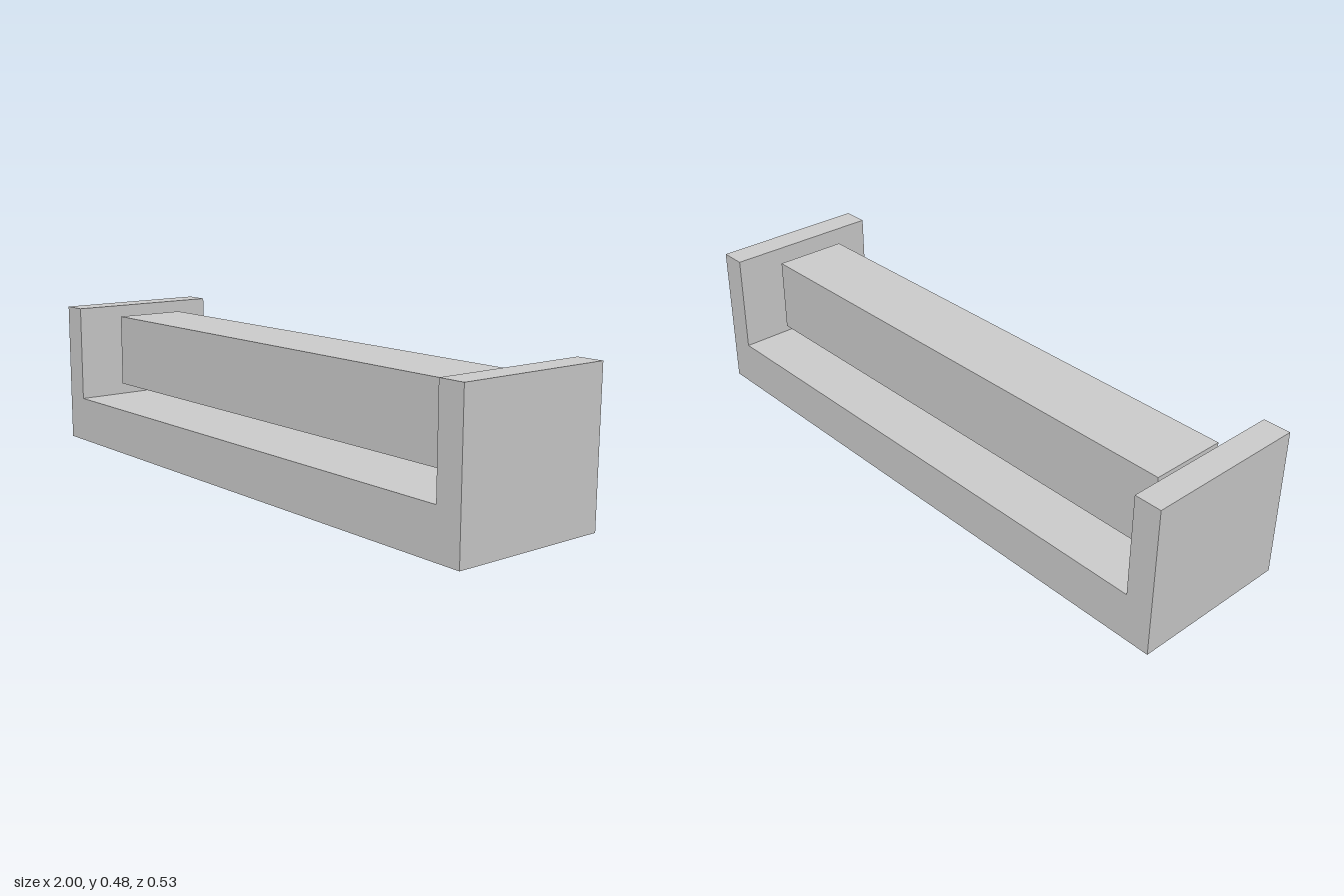
import * as THREE from 'three';

export function createModel() {
  const model = new THREE.Group();
  const material = new THREE.MeshStandardMaterial({ color: 0xcccccc, flatShading: true });

  const add = (name, geometry, x, y, z) => {
    const mesh = new THREE.Mesh(geometry, material);
    mesh.name = name;
    mesh.position.set(x, y, z);
    model.add(mesh);
  };

  const height = 0.484, depth = 0.534, inner = 0.912, floorTop = 0.155;
  const barHalf = 0.87, barY = 0.325;

  // U-shaped cradle: floor and two end walls in one profile
  const profile = new THREE.Shape([
    [-1, 0], [1, 0], [1, height], [inner, height],
    [inner, floorTop], [-inner, floorTop], [-inner, height], [-1, height],
  ].map(([x, y]) => new THREE.Vector2(x, y)));
  add('cradle', new THREE.ExtrudeGeometry(profile, { depth, bevelEnabled: false }), 0, 0, -depth / 2);

  // Square bar suspended between the walls
  add('bar', new THREE.BoxGeometry(2 * barHalf, 0.248, 0.25), 0, barY, 0);

  // Short flat pins joining the bar to each wall
  for (const [name, side] of [['leftPin', 1], ['rightPin', -1]]) {
    add(name, new THREE.BoxGeometry(inner - barHalf, 0.11, 0.177), side * (inner + barHalf) / 2, 0.32, 0);
  }

  return model;
}
